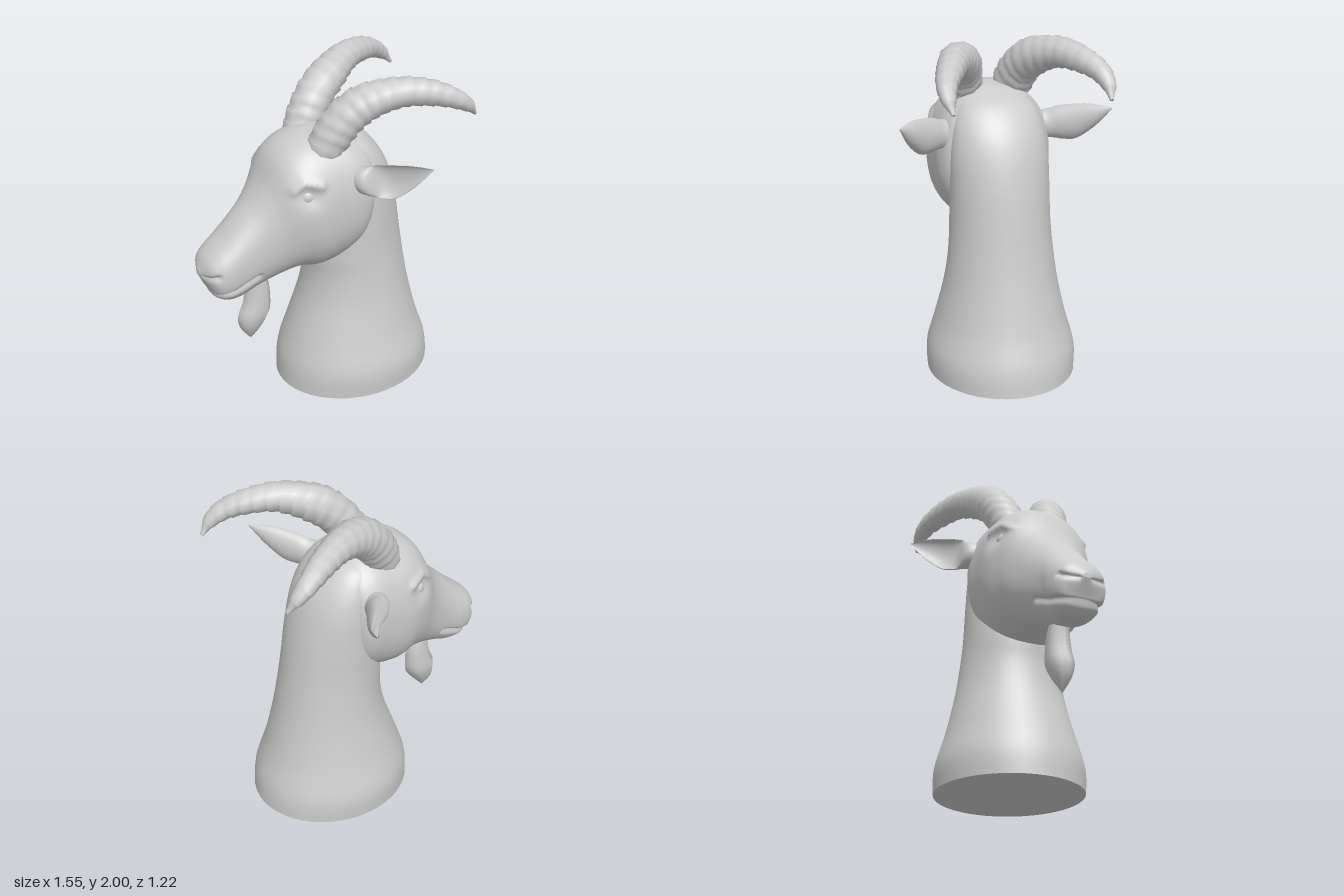
import * as THREE from 'three';

const V = (x, y, z) => new THREE.Vector3(x, y, z);

// Smoothly resample rows of numbers (Catmull-Rom per column)
function sample(rows, n) {
  const last = rows.length - 1, out = [];
  for (let k = 0; k <= n; k++) {
    const u = (k / n) * last, i = Math.min(Math.floor(u), last - 1), t = u - i;
    const p1 = rows[i], p2 = rows[i + 1], p0 = rows[Math.max(i - 1, 0)], p3 = rows[Math.min(i + 2, last)];
    out.push(p1.map((b, c) => {
      const a = p0[c], d = p2[c], e = p3[c];
      return 0.5 * (2 * b + (d - a) * t + (2 * a - 5 * b + 4 * d - e) * t * t + (3 * b - a - 3 * d + e) * t * t * t);
    }));
  }
  return out;
}

// Closed skin over rings of points, with flat caps, always facing outward
function loft(rings) {
  const n = rings[0].length, pos = [], idx = [];
  rings.forEach(r => r.forEach(p => pos.push(p.x, p.y, p.z)));
  for (let i = 0; i < rings.length - 1; i++) for (let j = 0; j < n; j++) {
    const a = i * n + j, b = i * n + (j + 1) % n;
    idx.push(a, b, a + n, b, b + n, a + n);
  }
  [rings[0], rings[rings.length - 1]].forEach((r, end) => {
    const base = pos.length / 3, c = V(0, 0, 0);
    r.forEach(p => { pos.push(p.x, p.y, p.z); c.addScaledVector(p, 1 / n); });
    pos.push(c.x, c.y, c.z);
    for (let j = 0; j < n; j++) {
      const a = base + j, b = base + (j + 1) % n;
      if (end) idx.push(base + n, a, b); else idx.push(base + n, b, a);
    }
  });
  // The signed volume tells whether the winding must be reversed
  const at = i => V(pos[3 * i], pos[3 * i + 1], pos[3 * i + 2]);
  let volume = 0;
  for (let i = 0; i < idx.length; i += 3) volume += at(idx[i]).dot(at(idx[i + 1]).cross(at(idx[i + 2])));
  if (volume < 0) idx.reverse();
  const g = new THREE.BufferGeometry();
  g.setAttribute('position', new THREE.Float32BufferAttribute(pos, 3));
  g.setIndex(idx);
  g.computeVertexNormals();
  return g;
}

// Ring between two outline points in the x-y plane, with half width w in z
function section([ax, ay, bx, by, w], n, power) {
  const bend = v => Math.sign(v) * Math.abs(v) ** power;
  return Array.from({ length: n }, (_, j) => {
    const a = (j / n) * Math.PI * 2, c = bend(Math.cos(a)) / 2, s = bend(Math.sin(a));
    return V((ax + bx) / 2 + (ax - bx) * c, (ay + by) / 2 + (ay - by) * c, w * s);
  });
}

// Distance in x-y from a point to a segment
function segDist(p, ax, ay, bx, by) {
  const dx = bx - ax, dy = by - ay;
  const t = THREE.MathUtils.clamp(((p.x - ax) * dx + (p.y - ay) * dy) / (dx * dx + dy * dy), 0, 1);
  return Math.hypot(p.x - ax - dx * t, p.y - ay - dy * t);
}
const bump = (d, r) => Math.exp(-((d / r) ** 2));

// Neck: front point, back point, half width
function neckGeometry() {
  const rows = [
    [-0.24, 0, 0.73, 0.04, 0.425], [-0.225, 0.16, 0.71, 0.18, 0.427], [-0.165, 0.35, 0.645, 0.37, 0.375],
    [-0.09, 0.57, 0.585, 0.6, 0.325], [-0.06, 0.74, 0.545, 0.8, 0.3], [-0.06, 0.9, 0.515, 0.98, 0.288],
    [-0.03, 1.1, 0.475, 1.2, 0.285], [0, 1.3, 0.42, 1.39, 0.28], [0, 1.48, 0.35, 1.52, 0.255],
    [0, 1.6, 0.26, 1.615, 0.2], [0.05, 1.66, 0.17, 1.66, 0.08]];
  return loft(sample(rows, 50).map(r => section(r, 48, 1)));
}

// Head: top point, bottom point, half width; mouth, nostrils and eye sockets are pressed in
function headGeometry() {
  const rows = [
    [-0.775, 0.97, -0.775, 0.94, 0.02], [-0.74, 1.04, -0.735, 0.86, 0.11], [-0.69, 1.09, -0.7, 0.79, 0.15],
    [-0.62, 1.15, -0.63, 0.75, 0.168], [-0.54, 1.23, -0.55, 0.75, 0.172], [-0.45, 1.32, -0.45, 0.79, 0.19],
    [-0.38, 1.42, -0.33, 0.83, 0.225], [-0.3, 1.57, -0.2, 0.86, 0.285], [-0.19, 1.65, -0.08, 0.845, 0.325],
    [-0.03, 1.685, 0.05, 0.87, 0.33], [0.1, 1.68, 0.17, 0.94, 0.325], [0.2, 1.63, 0.23, 1.07, 0.27],
    [0.24, 1.5, 0.25, 1.2, 0.12]];
  return loft(sample(rows, 150).map(r => {
    const mid = V((r[0] + r[2]) / 2, (r[1] + r[3]) / 2, 0);
    return section(r, 128, 0.88).map(p => {
      const side = THREE.MathUtils.smoothstep(Math.abs(p.z), 0.02, 0.06);
      const press = 0.025 * bump(Math.min(segDist(p, -0.74, 0.81, -0.6, 0.85), segDist(p, -0.6, 0.85, -0.47, 0.91)), 0.014)
        + 0.025 * side * bump(segDist(p, -0.77, 0.93, -0.71, 0.965), 0.014);
      p.addScaledVector(mid.clone().sub(p).normalize(), press);
      if (Math.abs(p.z) > 0.1) {
        const brow = Math.min(segDist(p, -0.29, 1.44, -0.23, 1.485), segDist(p, -0.23, 1.485, -0.14, 1.46));
        p.z += Math.sign(p.z) * (0.022 * bump(brow, 0.022) - 0.025 * bump(Math.hypot(p.x + 0.2, p.y - 1.4), 0.06));
      }
      return p;
    });
  }));
}

// Horn: curved, tapering, with overlapping growth rings
function hornGeometry(s) {
  const rows = [ // x, y, z, radius
    [-0.05, 1.57, 0.13, 0.105], [0.01, 1.68, 0.15, 0.115], [0.08, 1.78, 0.175, 0.114], [0.18, 1.855, 0.21, 0.11],
    [0.35, 1.912, 0.295, 0.087], [0.5, 1.903, 0.365, 0.074], [0.62, 1.865, 0.42, 0.058],
    [0.7, 1.815, 0.438, 0.042], [0.765, 1.745, 0.43, 0.01]];
  const path = new THREE.CatmullRomCurve3(rows.map(r => V(r[0], r[1], r[2] * s)));
  const radii = sample(rows.map(r => [r[3]]), 200);
  const rings = [], count = 15, sides = 10;
  for (let k = 0; k < count; k++) for (const [f, m] of [[0, 0.95], [0.4, 1], [0.85, 1.04]]) {
    const u = (k + f) / (count - 0.15), t = path.getUtoTmapping(u);
    const c = path.getPoint(t), T = path.getTangent(t);
    const S = V(0, 0, 1).addScaledVector(T, -T.z).normalize(), U = T.clone().cross(S);
    const r = radii[Math.round(t * 200)][0] * m;
    rings.push(Array.from({ length: sides }, (_, j) => {
      const a = (j / sides) * Math.PI * 2;
      return c.clone().addScaledVector(S, r * Math.cos(a)).addScaledVector(U, r * Math.sin(a))
        .addScaledVector(T, k ? 0.12 * r * Math.cos(2 * a) : 0);
    }));
  }
  return loft(rings);
}

// Ear: round root opening into a pointed cup that faces forward and outward
function earGeometry(s) {
  const rows = [ // x, y, z, half height, depth, inner side (1 bulging, negative hollow)
    [0.1, 1.43, 0.23, 0.075, 0.07, 1], [0.13, 1.44, 0.33, 0.085, 0.07, 0.9], [0.165, 1.45, 0.39, 0.1, 0.07, -0.4],
    [0.21, 1.465, 0.45, 0.1, 0.065, -0.75], [0.285, 1.515, 0.535, 0.065, 0.045, -0.75], [0.37, 1.57, 0.61, 0.004, 0.004, -0.5]];
  const T = V(0.45, 0.2, 0.8).normalize();
  const N = V(-0.87, 0, 0.49), U = T.clone().cross(N).normalize();
  return loft(sample(rows, 30).map(([x, y, z, h, d, inner]) => Array.from({ length: 32 }, (_, j) => {
    const a = (j / 32) * Math.PI * 2, q = Math.sin(a);
    const p = V(x, y, z).addScaledVector(U, h * Math.cos(a)).addScaledVector(N, d * q * (q > 0 ? inner : 1));
    p.z *= s;
    return p;
  })));
}

// Beard: ridged tuft ending in a point
function beardGeometry() {
  const rows = [ // y, centre x, half length, half width
    [0.83, -0.43, 0.06, 0.05], [0.75, -0.41, 0.08, 0.062], [0.65, -0.412, 0.09, 0.07], [0.57, -0.43, 0.106, 0.075],
    [0.5, -0.448, 0.08, 0.058], [0.45, -0.455, 0.045, 0.035], [0.4, -0.455, 0.004, 0.004]];
  return loft(sample(rows, 12).map(([y, x, rx, rz]) => Array.from({ length: 12 }, (_, j) => {
    const a = (j / 12) * Math.PI * 2, m = j % 2 ? 0.88 : 1;
    return V(x + rx * m * Math.cos(a), y, rz * m * Math.sin(a));
  })));
}

export function createModel() {
  const group = new THREE.Group();
  const material = new THREE.MeshStandardMaterial({ color: 0xcccccc });
  const add = (name, geometry) => {
    const mesh = new THREE.Mesh(geometry, material);
    mesh.name = name;
    group.add(mesh);
    return mesh;
  };
  add('neck', neckGeometry());
  add('head', headGeometry());
  add('beard', beardGeometry());
  for (const [s, label] of [[1, 'left'], [-1, 'right']]) {
    add(label + 'Horn', hornGeometry(s));
    add(label + 'Ear', earGeometry(s));
    add(label + 'Eye', new THREE.SphereGeometry(0.055, 24, 16)).position.set(-0.2, 1.39, 0.225 * s);
  }
  return group;
}
